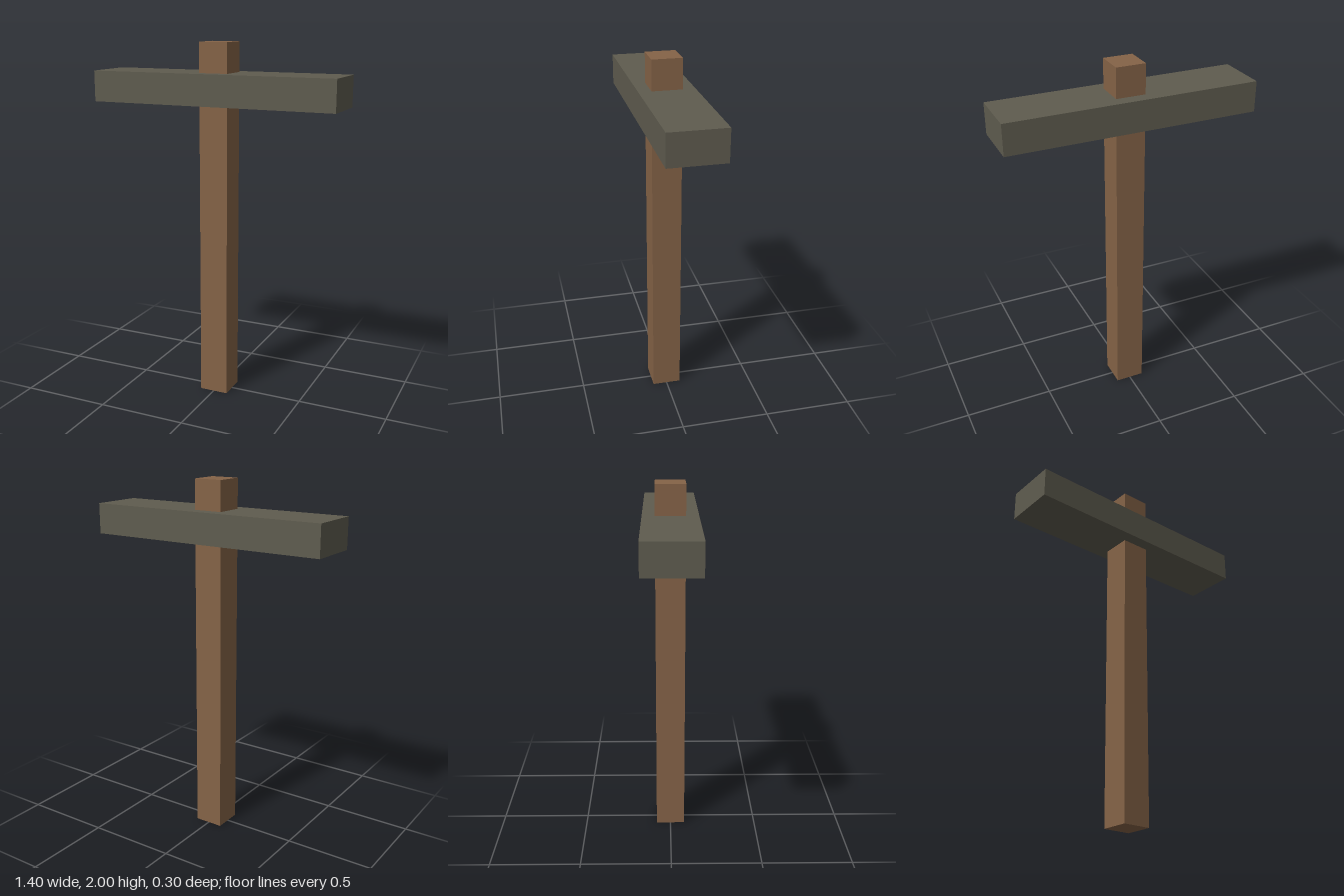
import * as THREE from 'three';

export function createModel() {
  const model = new THREE.Group();
  model.name = 'hammer';

  const wood = new THREE.MeshStandardMaterial({ color: 0x856347 });
  wood.name = 'brown wood';
  const stone = new THREE.MeshStandardMaterial({ color: 0x5f5c4f });
  stone.name = 'grey stone';

  const addBox = (name, material, width, height, depth, bottom) => {
    const mesh = new THREE.Mesh(new THREE.BoxGeometry(width, height, depth), material);
    mesh.name = name;
    mesh.position.y = bottom + height / 2;
    model.add(mesh);
  };

  // Square handle running right through the head
  addBox('handle', wood, 0.163, 2, 0.163, 0);
  // Long crosswise head
  addBox('head', stone, 1.396, 0.17, 0.3, 1.667);

  return model;
}
